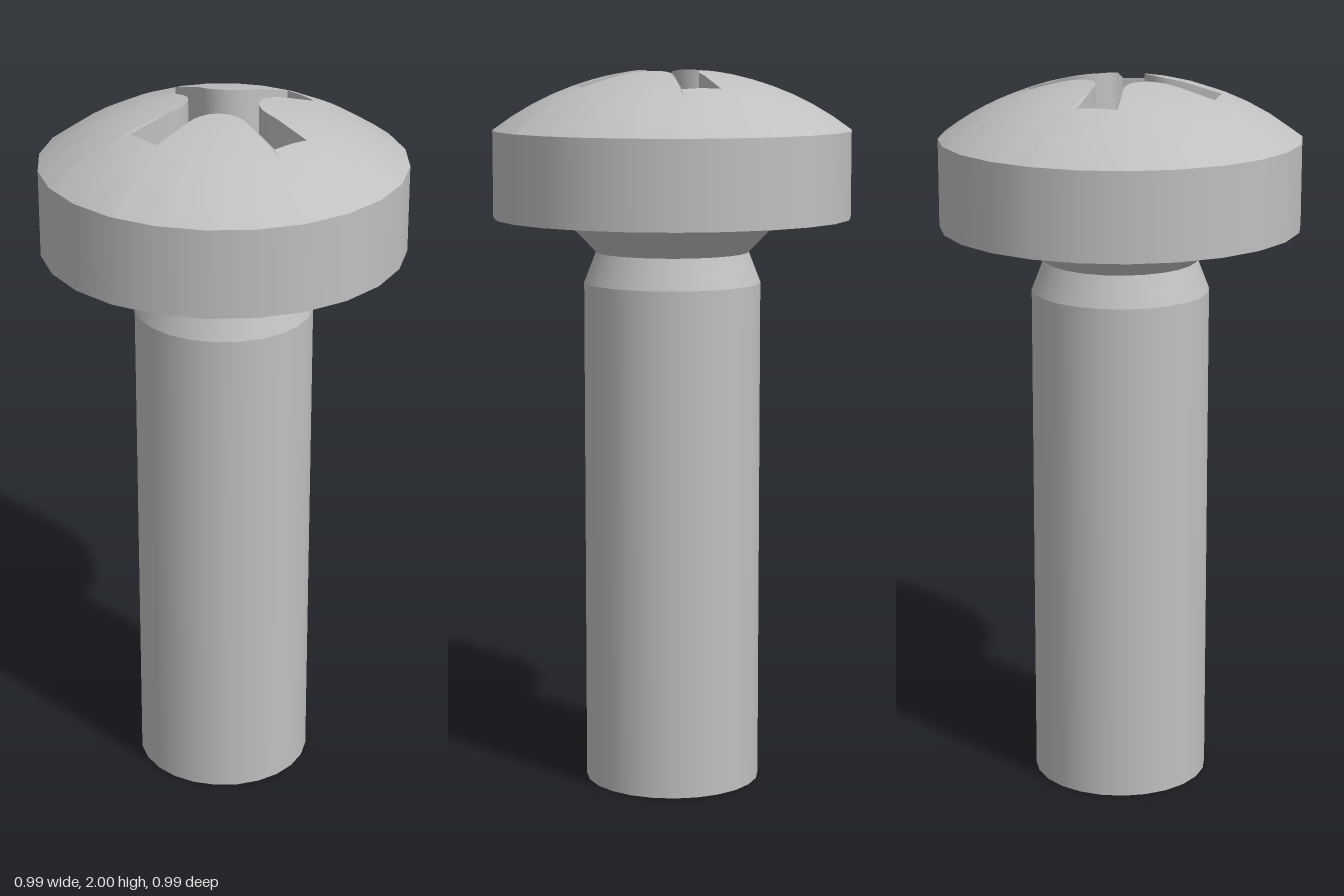
import * as THREE from 'three';
import { toCreasedNormals } from 'three/addons/utils/BufferGeometryUtils.js';

const SIDES = 24, HEAD_R = 0.495, RIM_Y = 1.835, TOP_Y = 2.003, FLOOR_Y = 1.77;
const rad = THREE.MathUtils.degToRad;

// Radius of the 24-sided head rim at an angle in degrees
const rimRadius = (deg) => HEAD_R * Math.cos(rad(7.5)) / Math.cos(rad((deg % 15) - 7.5));

// Radius of the cross recess: flared arms joined by round fillets
const END = 0.27, HALF = 0.054, NECK = 0.13, NECK_HALF = 0.04;
const endDeg = THREE.MathUtils.radToDeg(Math.atan2(HALF, END));
const neckDeg = THREE.MathUtils.radToDeg(Math.atan2(NECK_HALF, NECK));
function crossRadius(deg) {
  const q = deg % 90, t = rad(Math.min(q, 90 - q));
  if (t <= rad(endDeg) + 1e-6) return END / Math.cos(t);
  if (t <= rad(neckDeg)) {
    const k = (HALF - NECK_HALF) / (END - NECK);
    return (NECK_HALF - k * NECK) / (Math.sin(t) - k * Math.cos(t));
  }
  const b = NECK * (Math.cos(t) + Math.sin(t)), f = NECK - NECK_HALF;
  return b - Math.sqrt(b * b - 2 * NECK * NECK + f * f);
}

// Angles of the recess outline, including every rim corner
const quarter = [0, endDeg, 15, neckDeg];
for (let d = 20; d <= 70; d += 5) quarter.push(d);
quarter.push(90 - neckDeg, 75, 90 - endDeg);
const angles = [0, 90, 180, 270].flatMap((o) => quarter.map((d) => d + o));

// Spherical crown height; the rim follows the polygon
const R = (HEAD_R ** 2 + (TOP_Y - RIM_Y) ** 2) / (2 * (TOP_Y - RIM_Y));
const domeY = (r, deg) => {
  const p = r * HEAD_R / rimRadius(deg);
  return TOP_Y - R + Math.sqrt(R * R - p * p);
};
const ring = (radius, height) => angles.map((d) => {
  const r = radius(d);
  return [r * Math.cos(rad(d)), height(r, d), r * Math.sin(rad(d))];
});

// Skin between successive rings
function skin(rings, crease) {
  const n = angles.length, index = [];
  for (let j = 0; j < rings.length - 1; j++) {
    for (let i = 0; i < n; i++) {
      const a = j * n + i, b = j * n + (i + 1) % n;
      index.push(a, b, a + n, b, b + n, a + n);
    }
  }
  const g = new THREE.BufferGeometry();
  g.setAttribute('position', new THREE.Float32BufferAttribute(rings.flat(2), 3));
  g.setIndex(index);
  return toCreasedNormals(g, crease);
}

export function createModel() {
  const model = new THREE.Group();
  model.name = 'screw';
  const steel = new THREE.MeshStandardMaterial({ color: 0xc0c0c0 });
  steel.name = 'steel grey';
  const add = (name, geometry) => {
    const mesh = new THREE.Mesh(geometry, steel);
    mesh.name = name;
    model.add(mesh);
  };

  // Turned bands, each with its own crisp edges: [name, r0, y0, r1, y1]
  const bands = [
    ['shankEnd', 0, 0, 0.245, 0],
    ['shank', 0.245, 0, 0.245, 1.415],
    ['shankChamfer', 0.245, 1.415, 0.212, 1.5],
    ['neckCone', 0.212, 1.5, 0.305, 1.595],
    ['headUnderside', 0.305, 1.595, HEAD_R, 1.595],
    ['headRim', HEAD_R, 1.595, HEAD_R, RIM_Y],
  ];
  for (const [name, r0, y0, r1, y1] of bands) {
    add(name, new THREE.LatheGeometry([new THREE.Vector2(r0, y0), new THREE.Vector2(r1, y1)], SIDES));
  }

  // Domed crown, from the recess outline out to the rim
  const domeRings = [];
  for (let k = 0; k <= 6; k++) {
    domeRings.push(ring((d) => THREE.MathUtils.lerp(crossRadius(d), rimRadius(d), k / 6), domeY));
  }
  add('headDome', skin(domeRings, 0.6));

  // Cross recess
  const floor = ring(crossRadius, () => FLOOR_Y);
  add('recessWalls', skin([floor, domeRings[0]], 0.6));
  add('recessFloor', skin([ring(() => 0, () => FLOOR_Y), floor], 0.6));

  return model;
}
